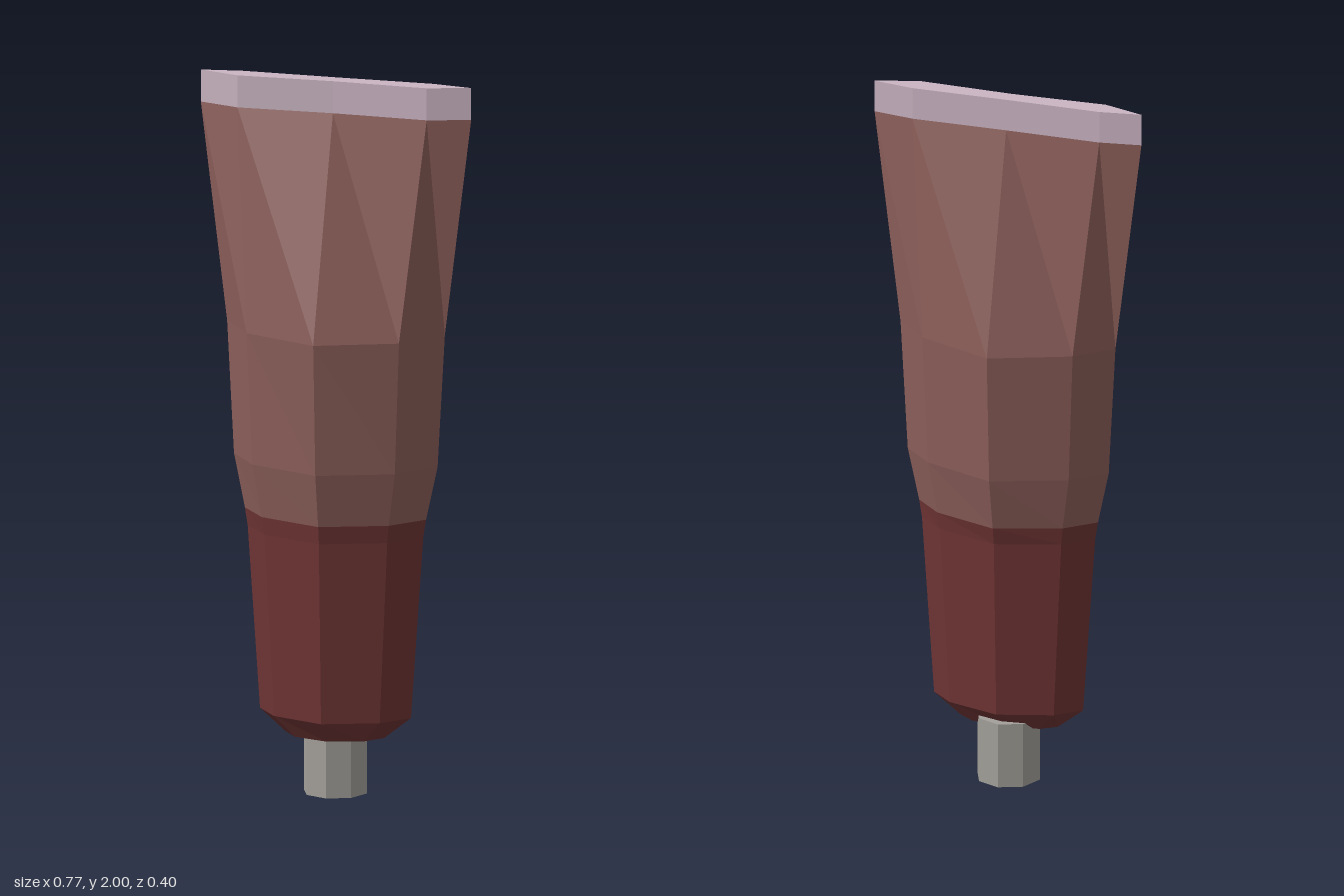
import * as THREE from 'three';

const material = (name, color) => {
  const m = new THREE.MeshStandardMaterial({ color, flatShading: true });
  m.name = name;
  return m;
};

// Eight-sided cross-section: half width, side seam z, mid-front z, mid-back z,
// shoulder front z, shoulder back z
function ring([y, w, seam, front, back, shoulderF, shoulderB]) {
  const s = w * 0.7;
  return [
    [w, y, seam], [s, y, shoulderF], [0, y, front], [-s, y, shoulderF],
    [-w, y, seam], [-s, y, shoulderB], [0, y, back], [s, y, shoulderB],
  ];
}

// Faceted skin through the sections, with optional flat ends
function loft(name, sections, mat, closeBottom, closeTop) {
  const rings = sections.map(ring);
  const p = [];
  const n = 8;
  for (let r = 0; r < rings.length - 1; r++) {
    const lo = rings[r], hi = rings[r + 1];
    for (let i = 0; i < n; i++) {
      const j = (i + 1) % n;
      p.push(...lo[i], ...hi[i], ...hi[j], ...lo[i], ...hi[j], ...lo[j]);
    }
  }
  const end = (loop, section, up) => {
    const c = [0, section[0], section[2]];
    for (let i = 0; i < n; i++) {
      const a = loop[i], b = loop[(i + 1) % n];
      p.push(...c, ...(up ? b : a), ...(up ? a : b));
    }
  };
  if (closeBottom) end(rings[0], sections[0], false);
  if (closeTop) end(rings[rings.length - 1], sections[sections.length - 1], true);
  const g = new THREE.BufferGeometry();
  g.setAttribute('position', new THREE.Float32BufferAttribute(p, 3));
  g.computeVertexNormals();
  const mesh = new THREE.Mesh(g, mat);
  mesh.name = name;
  return mesh;
}

export function createModel() {
  const group = new THREE.Group();
  group.name = 'squeezeTube';
  const brown = material('dusty brown', 0x8c5f5a);
  const red = material('dark red', 0x6f3434);
  const pale = material('pale mauve', 0xcbb5c3);
  const grey = material('warm grey', 0xa3a09a);

  const join = [0.78, 0.258, -0.015, 0.152, -0.15, 0.083, -0.088];
  const crimp = [1.91, 0.385, -0.02, 0.01, -0.036, 0.018, -0.038];

  // Lower sleeve with bevelled base
  group.add(loft('lowerSleeve', [
    [0.16, 0.14, -0.01, 0.075, -0.05, 0.045, -0.04],
    [0.22, 0.215, -0.015, 0.125, -0.12, 0.068, -0.074],
    [0.73, 0.25, -0.015, 0.145, -0.14, 0.078, -0.083],
    join,
  ], red, true, false));

  // Tube body flattening toward the top
  group.add(loft('tubeBody', [
    join,
    [0.93, 0.29, -0.018, 0.18, -0.18, 0.1, -0.102],
    [1.3, 0.31, -0.02, 0.2, -0.2, 0.108, -0.11],
    crimp,
  ], brown, false, false));

  // Flat sealed strip
  group.add(loft('crimpStrip', [crimp, [2, ...crimp.slice(1)]], pale, false, true));

  // Nozzle
  const nozzle = new THREE.Mesh(new THREE.CylinderGeometry(0.09, 0.09, 0.185, 8), grey);
  nozzle.name = 'nozzle';
  nozzle.position.set(0, 0.0925, -0.015);
  group.add(nozzle);

  return group;
}
